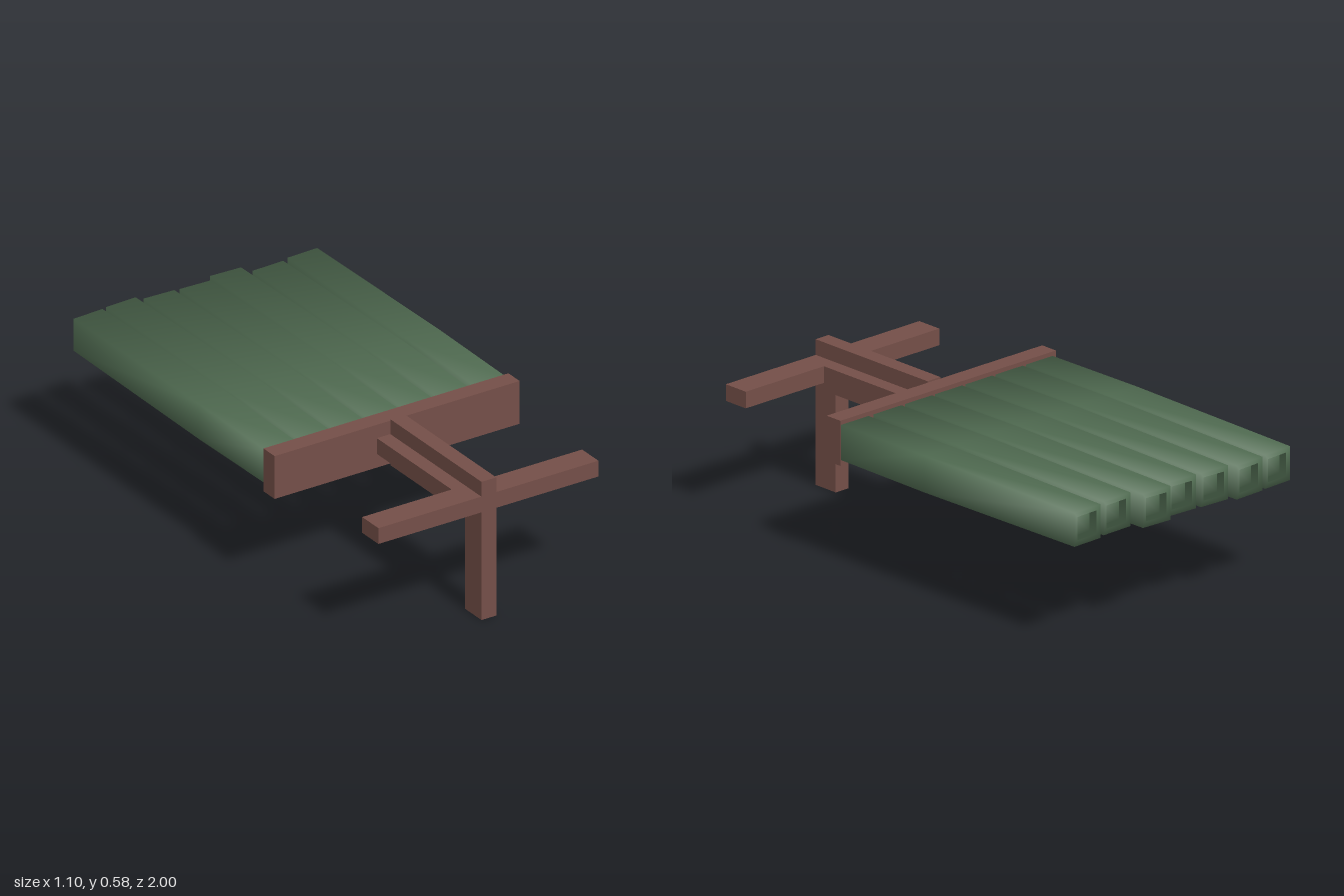
import * as THREE from 'three';

const brown = new THREE.MeshStandardMaterial({ color: 0x744f48 });
brown.name = 'brown wood';
const green = new THREE.MeshStandardMaterial({ color: 0x547055 });
green.name = 'leaf green';

// Box given by its limits on each axis
function block(name, x0, x1, y0, y1, z0, z1) {
  const mesh = new THREE.Mesh(new THREE.BoxGeometry(x1 - x0, y1 - y0, z1 - z0), brown);
  mesh.position.set((x0 + x1) / 2, (y0 + y1) / 2, (z0 + z1) / 2);
  mesh.name = name;
  return mesh;
}

// Four-sided bar with soft shading and a recessed far end
function bar(x0, x1, zEnd, skew) {
  const cx = (x0 + x1) / 2, w = (x1 - x0) / 2, cy = 0.485;
  const corners = [[1, 1], [-1, 1], [-1, -1], [1, -1]];
  // half width, half height, z, normal tilt along z
  const rings = [
    [w * 0.97, 0.07, 0.317, 1],
    [w, 0.073, -0.14, 0],
    [w * 0.95, 0.067, zEnd, -1],
    [w * 0.7, 0.046, zEnd + 0.003, -2],
    [w * 0.62, 0.041, zEnd + 0.035, -2],
  ];
  const pos = [], nor = [], index = [];
  rings.forEach(([rw, rh, z, tilt], i) => {
    for (const [sx, sy] of corners) {
      const slant = i >= 2 ? sx * skew : 0;
      pos.push(cx + sx * rw, cy + sy * rh, z + slant);
      const n = new THREE.Vector3(sx, sy, tilt).normalize();
      nor.push(n.x, n.y, n.z);
    }
  });
  for (let i = 0; i < rings.length - 1; i++) {
    for (let j = 0; j < 4; j++) {
      const a = i * 4 + j, b = i * 4 + (j + 1) % 4, c = b + 4, d = a + 4;
      index.push(a, d, c, a, c, b);
    }
  }
  const e = (rings.length - 1) * 4;
  index.push(0, 1, 2, 0, 2, 3, e, e + 2, e + 1, e, e + 3, e + 2);
  const g = new THREE.BufferGeometry();
  g.setAttribute('position', new THREE.Float32BufferAttribute(pos, 3));
  g.setAttribute('normal', new THREE.Float32BufferAttribute(nor, 3));
  g.setIndex(index);
  return new THREE.Mesh(g, green);
}

export function createModel() {
  const model = new THREE.Group();
  model.name = 'slattedFrame';

  // Wooden frame: cross-section beam, crossbar, leg and end plate
  model.add(
    block('endPlate', -0.55, 0.545, 0.393, 0.572, 0.315, 0.39),
    block('beamUpright', -0.033, 0.033, 0.386, 0.578, 0.39, 1),
    block('beamFlange', -0.093, 0.093, 0.45, 0.516, 0.39, 0.89),
    block('crossbar', -0.493, 0.49, 0.45, 0.516, 0.89, 0.999),
    block('leg', -0.033, 0.033, 0, 0.386, 0.89, 1),
  );

  // Seven bars of uneven length: left x, right x, end z, end slant
  const bars = [
    [-0.535, -0.395, -0.985, -0.003],
    [-0.383, -0.24, -0.996, -0.003],
    [-0.228, -0.088, -0.97, 0.003],
    [-0.075, 0.067, -0.96, 0.003],
    [0.078, 0.22, -0.985, 0.003],
    [0.233, 0.38, -0.937, -0.002],
    [0.4, 0.543, -0.953, -0.002],
  ];
  const slats = new THREE.Group();
  slats.name = 'slats';
  bars.forEach((b, i) => {
    const mesh = bar(...b);
    mesh.name = 'slat' + (i + 1);
    slats.add(mesh);
  });
  model.add(slats);
  return model;
}
